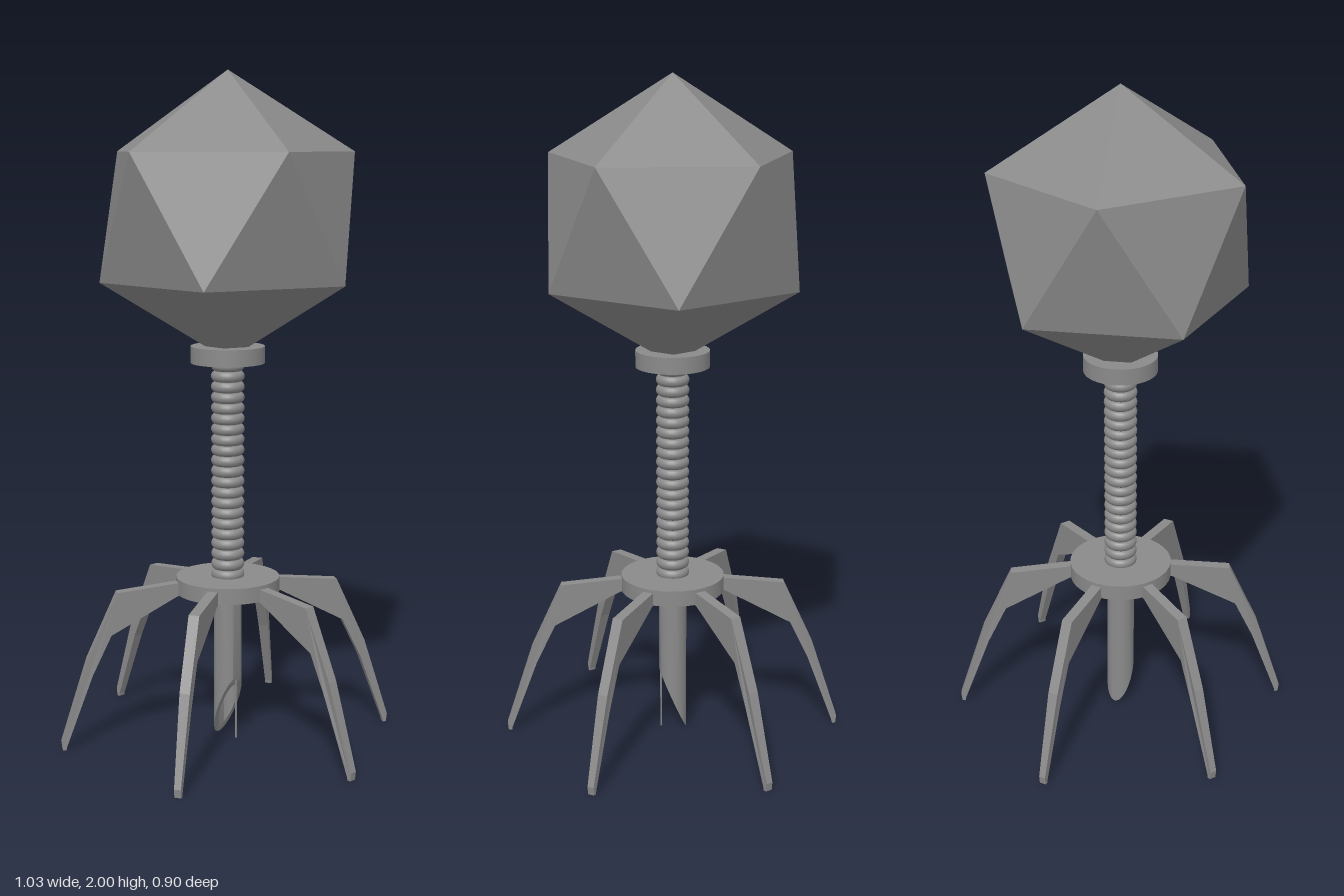
import * as THREE from 'three';
import { toCreasedNormals } from 'three/addons/utils/BufferGeometryUtils.js';
import { ConvexGeometry } from 'three/addons/geometries/ConvexGeometry.js';

const grey = new THREE.MeshStandardMaterial({ color: 0x8a8a8a });
const flatGrey = new THREE.MeshStandardMaterial({ color: 0x8a8a8a, flatShading: true });

function add(parent, name, geometry, material = grey, y = 0) {
  const mesh = new THREE.Mesh(geometry, material);
  mesh.name = name;
  mesh.position.y = y;
  parent.add(mesh);
  return mesh;
}

// Regular icosahedron standing on a corner, an upper corner facing forward
function headGeometry(R) {
  const points = [new THREE.Vector3(0, R, 0), new THREE.Vector3(0, -R, 0)];
  const ringY = R / Math.sqrt(5);
  for (let i = 0; i < 10; i++) {
    const a = (i * Math.PI) / 5;
    const y = i % 2 ? -ringY : ringY;
    points.push(new THREE.Vector3(Math.sin(a) * ringY * 2, y, Math.cos(a) * ringY * 2));
  }
  return new ConvexGeometry(points);
}

// Ribbed sheath: one rounded bulge per rib
function sheathGeometry(y0, y1, ribs) {
  const profile = [];
  const pitch = (y1 - y0) / ribs;
  for (let i = 0; i < ribs; i++) {
    for (let j = 0; j < 8; j++) {
      const a = (Math.PI * j) / 8;
      profile.push(new THREE.Vector2(0.036 + 0.014 * Math.sin(a), y0 + (i + 0.5 - 0.5 * Math.cos(a)) * pitch));
    }
  }
  profile.push(new THREE.Vector2(0.036, y1));
  return new THREE.LatheGeometry(profile, 24);
}

// Hollow tube whose lower end is cut at a slant
function spikeGeometry() {
  const profile = [[0.03, 0.47], [0.03, 0], [0.042, 0], [0.042, 0.47]].map(p => new THREE.Vector2(...p));
  const geometry = new THREE.LatheGeometry(profile, 32);
  const pos = geometry.attributes.position;
  for (let i = 0; i < pos.count; i++) {
    if (pos.getY(i) < 0.1) pos.setY(i, 0.0975 * (1 + pos.getX(i) / 0.042));
  }
  return toCreasedNormals(geometry, 0.6);
}

// Leg outline extruded sideways, narrowing from the shin to the foot
function legGeometry() {
  const outline = [
    [0.12, 0.46], [0.16, 0.452], [0.36, 0.345], [0.418, 0.225], [0.498, 0.01],
    [0.5, 0], [0.51, 0], [0.513, 0.025], [0.432, 0.275], [0.34, 0.475], [0.12, 0.497],
  ].map(p => new THREE.Vector2(...p));
  const geometry = new THREE.ExtrudeGeometry(new THREE.Shape(outline), { depth: 1, bevelEnabled: false });
  const pos = geometry.attributes.position;
  for (let i = 0; i < pos.count; i++) {
    const taper = THREE.MathUtils.clamp((pos.getX(i) - 0.42) / 0.09, 0, 1);
    pos.setZ(i, -0.014 + 0.002 * taper + pos.getZ(i) * (0.032 - 0.012 * taper));
  }
  return geometry;
}

export function createModel() {
  const model = new THREE.Group();
  model.name = 'phage';

  add(model, 'head', headGeometry(0.42), flatGrey, 1.58);
  add(model, 'collar', new THREE.CylinderGeometry(0.11, 0.11, 0.05, 32), grey, 1.177);
  add(model, 'sheath', sheathGeometry(0.495, 1.16, 21));
  add(model, 'basePlate', new THREE.CylinderGeometry(0.156, 0.156, 0.048, 32), grey, 0.48);

  // Hollow spike with a thin thread hanging from its short side
  add(model, 'spike', spikeGeometry());
  add(model, 'thread', new THREE.CylinderGeometry(0.003, 0.003, 0.21, 6), grey, 0.105).position.x = 0.036;

  // Six legs around the base plate
  const legs = new THREE.Group();
  legs.name = 'legs';
  const leg = legGeometry();
  for (let i = 0; i < 6; i++) add(legs, 'leg', leg, flatGrey).rotation.y = (i * Math.PI) / 3;
  model.add(legs);

  return model;
}
